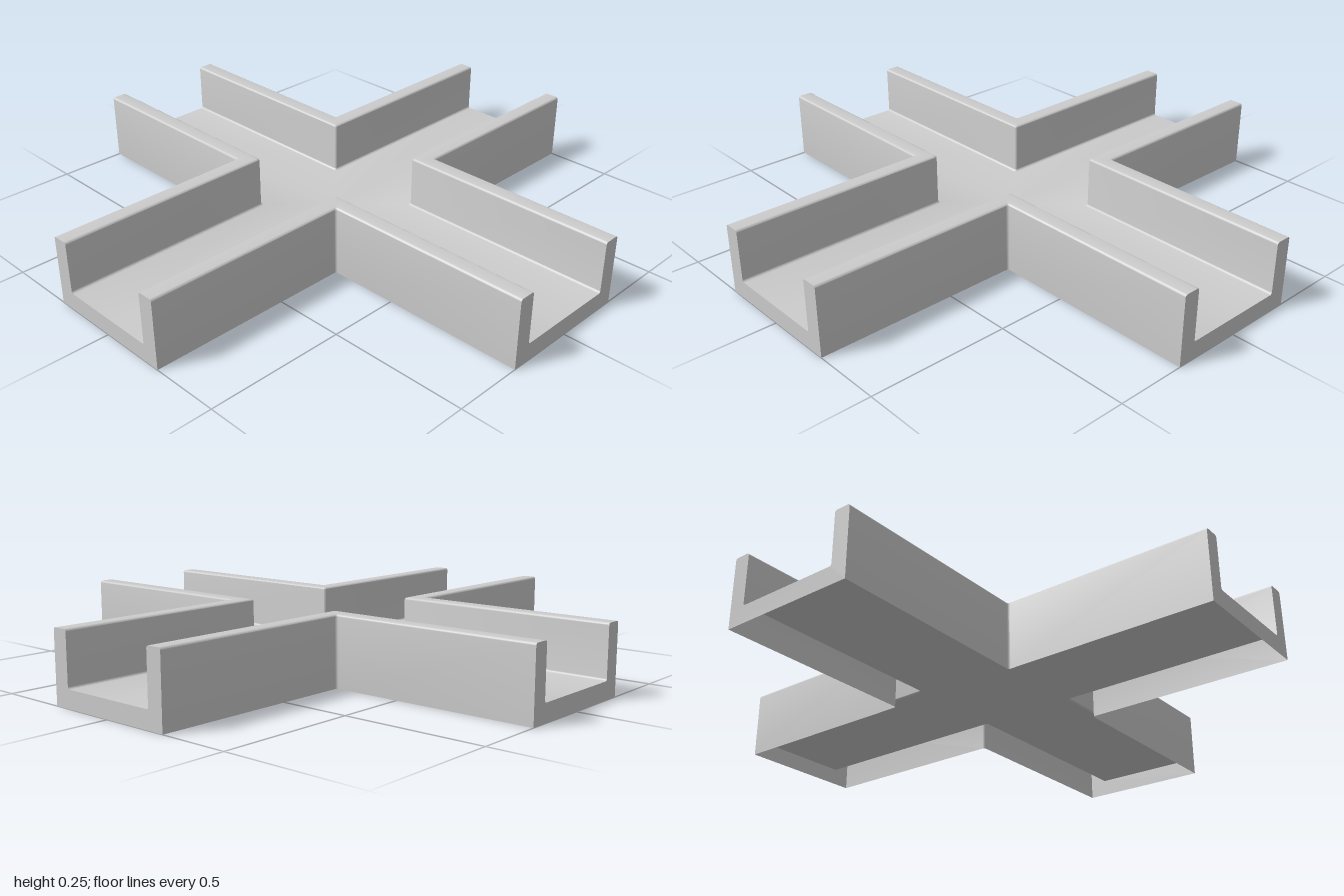
import * as THREE from 'three';
import { toCreasedNormals } from 'three/addons/utils/BufferGeometryUtils.js';

const OUT = 0.25, IN = 0.19, TOP = 0.25, FLOOR = 0.063, R = 0.008, SEG = 4;

// points of a quarter arc, in steps from angle a0 to a1
function arc(cx, cy, a0, a1) {
  return Array.from({ length: SEG + 1 }, (_, i) => {
    const a = a0 + (a1 - a0) * i / SEG;
    return [cx + R * Math.cos(a), cy + R * Math.sin(a)];
  });
}

// half section of the channel: outer wall, rim, inner wall, floor to the middle
const H = Math.PI / 2;
const profile = [
  [OUT, 0],
  ...arc(OUT - R, TOP - R, 0, H),
  ...arc(IN + R, TOP - R, H, Math.PI),
  ...arc(IN - R, FLOOR + R, 0, -H),
  [0, FLOOR],
];

// plan path at distance a from the arm axes, turning the corner between two arms
function cornerPath(a) {
  const r = a === 0 ? 0 : R;
  const pts = [[1, a]];
  for (let i = 0; i <= SEG; i++) {
    const t = H * i / SEG;
    pts.push([a + r - r * Math.sin(t), a + r - r * Math.cos(t)]);
  }
  pts.push([a, 1]);
  return pts;
}

// section swept along the corner path: one quarter of the open-bottomed shell
function quarterGeometry() {
  const pos = [], idx = [], n = SEG + 3;
  for (const [a, y] of profile) for (const [x, z] of cornerPath(a)) pos.push(x, y, z);
  for (let s = 0; s < profile.length - 1; s++) {
    for (let u = 0; u < n - 1; u++) {
      const p = s * n + u, q = p + n;
      idx.push(p, q, p + 1, q, q + 1, p + 1);
    }
  }
  const g = new THREE.BufferGeometry();
  g.setAttribute('position', new THREE.Float32BufferAttribute(pos, 3));
  g.setIndex(idx);
  return toCreasedNormals(g, 0.5);
}

// U-shaped plate closing the end of an arm
function endGeometry() {
  const half = profile.slice(0, -1);
  const outline = [...half, ...half.map(([a, y]) => [-a, y]).reverse()];
  return new THREE.ShapeGeometry(new THREE.Shape(outline.map(([x, y]) => new THREE.Vector2(x, y))));
}

export function createModel() {
  const group = new THREE.Group();
  group.name = 'channelCrossing';
  const material = new THREE.MeshStandardMaterial({ color: 0xcccccc, side: THREE.DoubleSide });
  const quarter = quarterGeometry();
  const end = endGeometry().translate(0, 0, 1);
  for (let i = 0; i < 4; i++) {
    // walls and floor between two arms
    const corner = new THREE.Mesh(quarter, material);
    corner.name = 'cornerWallAndFloor' + (i + 1);
    corner.rotation.y = i * H;
    // arm end
    const cap = new THREE.Mesh(end, material);
    cap.name = 'armEnd' + (i + 1);
    cap.rotation.y = i * H;
    group.add(corner, cap);
  }
  return group;
}
